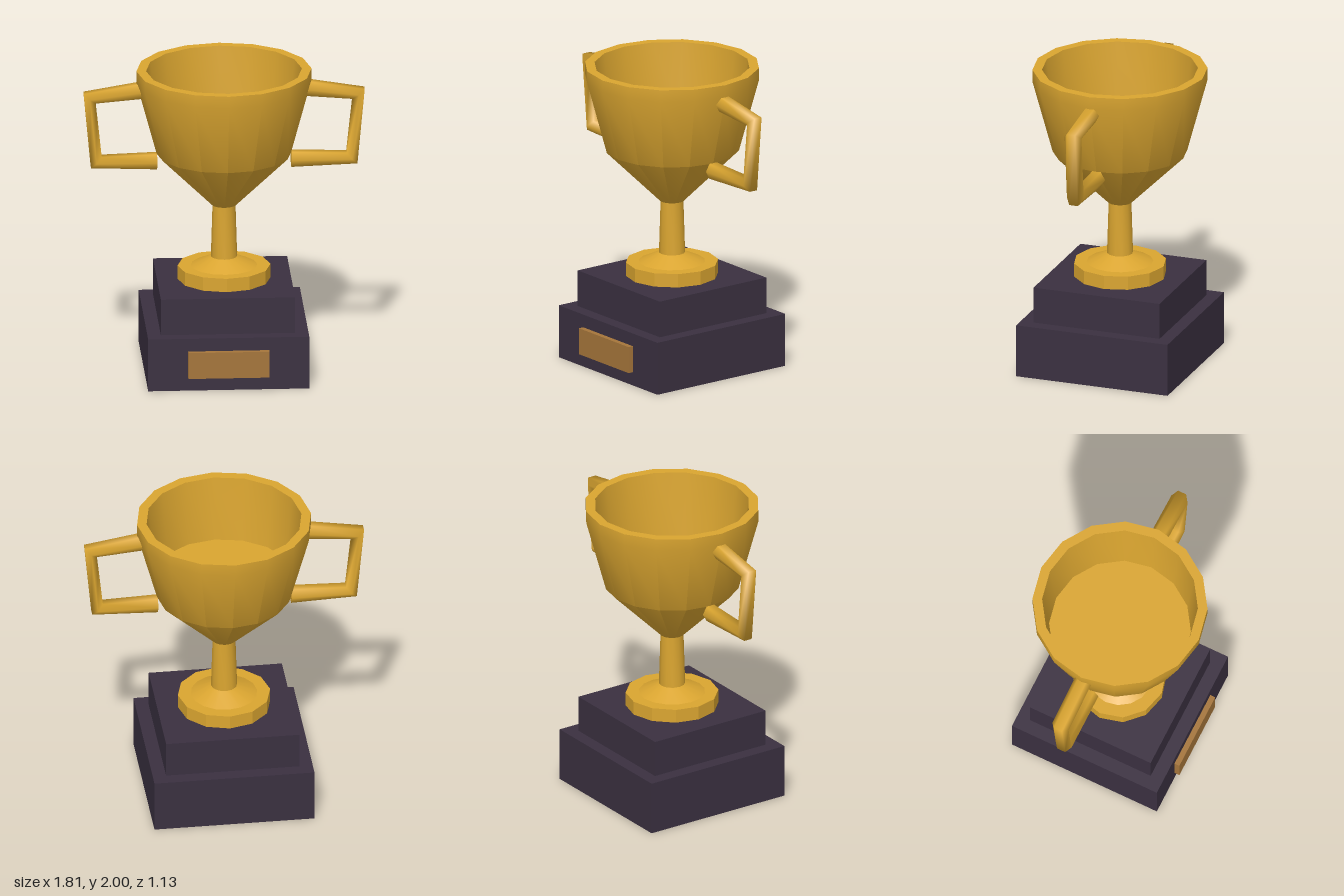
import * as THREE from 'three';
import { toCreasedNormals } from 'three/addons/utils/BufferGeometryUtils.js';

const mat = (name, color) => {
  const m = new THREE.MeshStandardMaterial({ color });
  m.name = name;
  return m;
};

export function createModel() {
  const gold = mat('gold', 0xdaa530);
  const wood = mat('darkWood', 0x3a3040);
  const bronze = mat('bronze', 0xa5753a);
  const trophy = new THREE.Group();
  trophy.name = 'trophy';

  const add = (name, geometry, material, x = 0, y = 0, z = 0) => {
    const mesh = new THREE.Mesh(geometry, material);
    mesh.name = name;
    mesh.position.set(x, y, z);
    trophy.add(mesh);
    return mesh;
  };
  const lathe = (points, sides, crease) => toCreasedNormals(
    new THREE.LatheGeometry(points.map(([r, y]) => new THREE.Vector2(r, y)), sides), crease);

  // Stepped plinth with a plaque on the front
  add('plinthBase', new THREE.BoxGeometry(1.04, 0.35, 1.04), wood, 0, 0.175, 0);
  add('plinthStep', new THREE.BoxGeometry(0.866, 0.24, 0.866), wood, 0, 0.47, 0);
  add('plaque', new THREE.BoxGeometry(0.524, 0.175, 0.035), bronze, 0, 0.177, 0.5375);

  // Faceted foot, collar and stem
  add('foot', lathe([[0, 0.59], [0.3, 0.59], [0.3, 0.68], [0, 0.68]], 12, 0.3), gold);
  add('collar', lathe([[0.215, 0.68], [0.085, 0.74]], 16, 0.6), gold);
  add('stem', lathe([[0.085, 0.74], [0.074, 1.1]], 12, 0.6), gold);

  // Hollow cup: outside, rim, inner wall and floor
  add('cup', lathe([
    [0, 1.09], [0.08, 1.09], [0.435, 1.44], [0.565, 1.92], [0.565, 2],
    [0.503, 2], [0.458, 1.555], [0, 1.555],
  ], 16, 0.6), gold);

  // Six-sided handle: each row of a cylinder is moved to a mitred bend
  const radius = 0.058;
  const bends = [
    { c: [0.53, 1.872], n: [0.1, 0.995] },
    { c: [0.868, 1.828], n: [0.77, 0.64] },
    { c: [0.825, 1.395], n: [0.69, -0.725] },
    { c: [0.433, 1.393], n: [0, -1] },
  ];
  const handle = new THREE.CylinderGeometry(radius, radius, 1, 6, 3);
  const pos = handle.attributes.position;
  const nor = handle.attributes.normal;
  for (let i = 0; i < pos.count; i++) {
    const { c, n } = bends[Math.round((0.5 - pos.getY(i)) * 3)];
    const across = pos.getX(i);
    pos.setXYZ(i, c[0] + n[0] * across, c[1] + n[1] * across, pos.getZ(i));
    if (Math.abs(nor.getY(i)) > 0.5) nor.setXYZ(i, -1, 0, 0); // end caps
    else nor.setXYZ(i, n[0] * nor.getX(i), n[1] * nor.getX(i), nor.getZ(i));
  }
  add('leftHandle', handle, gold);
  add('rightHandle', handle, gold).rotation.y = Math.PI;

  return trophy;
}
